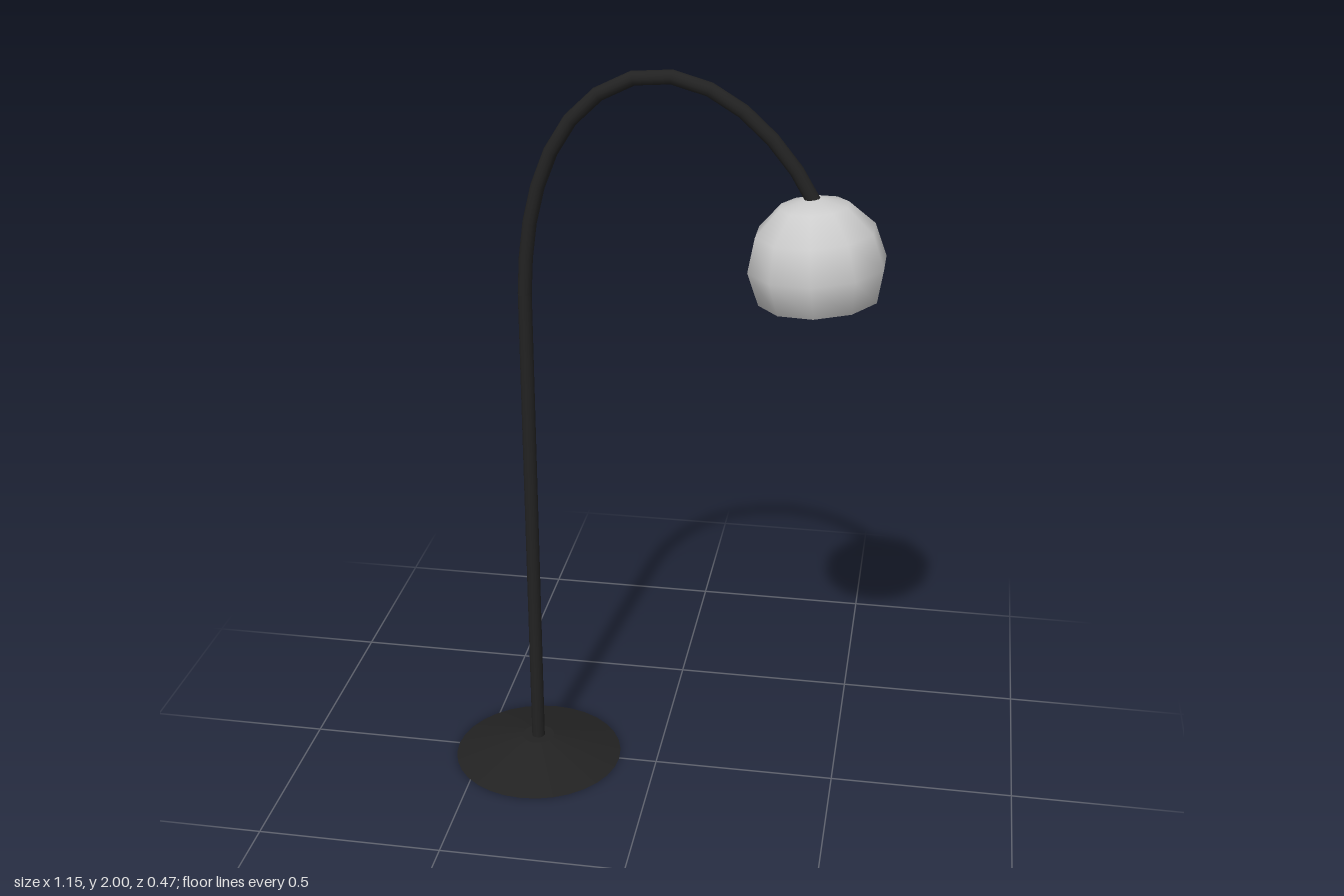
import * as THREE from 'three';

const POLE_X = -0.342;
const TUBE_R = 0.0185;

export function createModel() {
  const black = new THREE.MeshStandardMaterial({ color: 0x222222 });
  black.name = 'black metal';
  const grey = new THREE.MeshStandardMaterial({ color: 0xcccccc, side: THREE.DoubleSide });
  grey.name = 'pale grey shade';

  const group = new THREE.Group();
  group.name = 'arcFloorLamp';
  const add = (name, geometry, material, x = 0, y = 0) => {
    const mesh = new THREE.Mesh(geometry, material);
    mesh.name = name;
    mesh.position.set(x, y, 0);
    group.add(mesh);
    return mesh;
  };

  // Shallow conical foot
  add('base', new THREE.CylinderGeometry(0.045, 0.235, 0.056, 32), black, POLE_X, 0.028);

  // Straight upright
  add('pole', new THREE.CylinderGeometry(TUBE_R, TUBE_R, 1.36, 12), black, POLE_X, 0.72);

  // Curved arm, from the top of the pole into the shade
  const path = [
    [POLE_X, 1.4], [-0.332, 1.54], [-0.306, 1.67], [-0.262, 1.785], [-0.204, 1.873],
    [-0.135, 1.934], [-0.065, 1.968], [0.008, 1.979], [0.092, 1.965], [0.18, 1.924],
    [0.267, 1.853], [0.34, 1.768], [0.396, 1.675],
  ].map(([x, y]) => new THREE.Vector3(x, y, 0));
  add('arm', new THREE.TubeGeometry(new THREE.CatmullRomCurve3(path), 13, TUBE_R, 12), black);

  // Ten-sided open globe, tipped slightly along the arm
  const globe = new THREE.SphereGeometry(
    0.177, 10, 4, Math.PI / 2, Math.PI * 2, 0, THREE.MathUtils.degToRad(119));
  add('shade', globe, grey, 0.405, 1.52).rotation.z = 0.084;

  return group;
}
